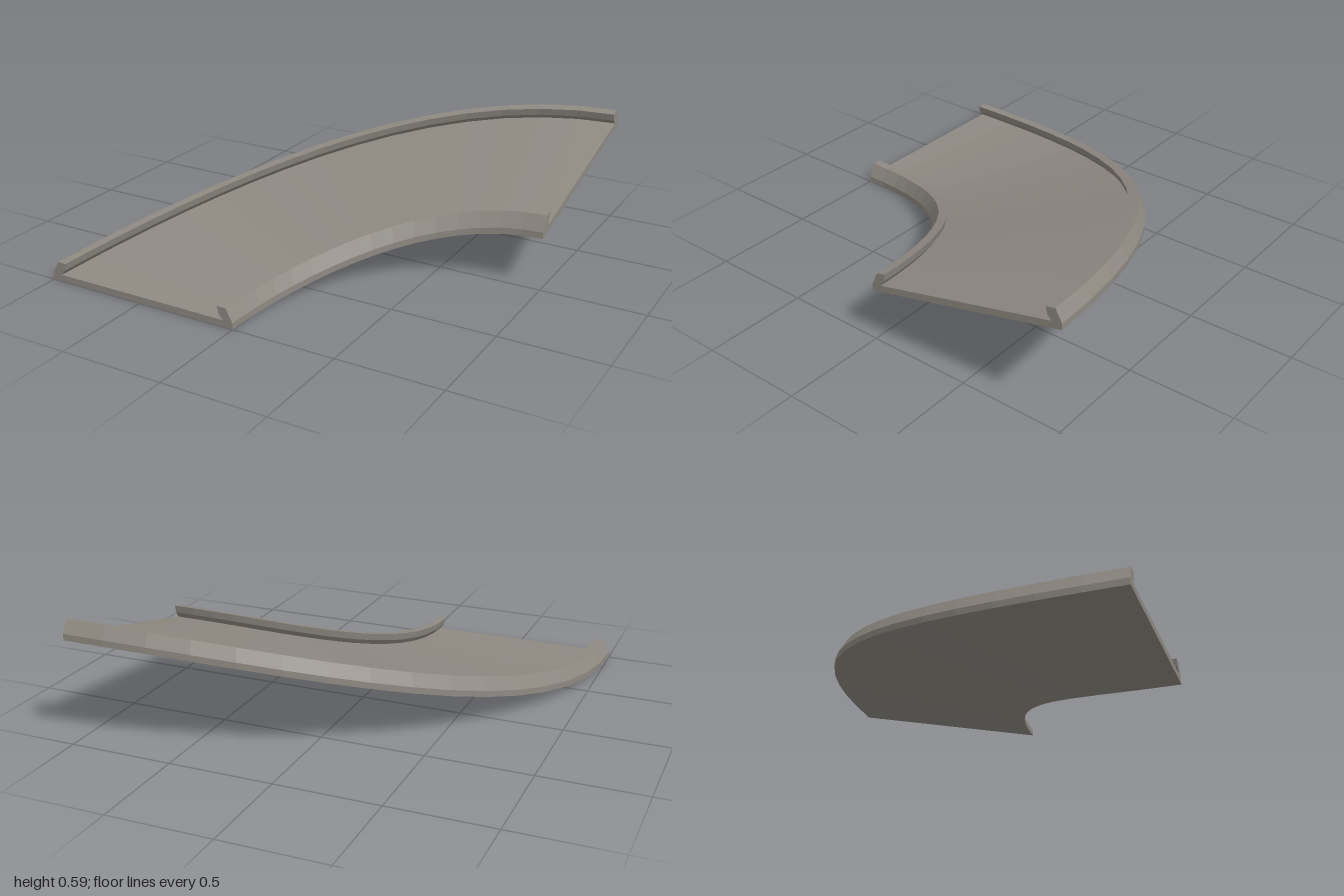
import * as THREE from 'three';

const SEGMENTS = 16;

// Banked quarter turn around (1, 1): climbs with sin², more at the outer radius
function place(r, y, t) {
  const rise = 0.255 + 0.245 * (r - 1);
  return [1 - r * Math.cos(t), y + rise * Math.sin(t) ** 2, 1 - r * Math.sin(t)];
}

// Sweeps a closed (radius, height) section along the turn and caps both ends
function sweep(name, points, material) {
  const section = points.map(([r, y]) => new THREE.Vector2(r, y));
  if (THREE.ShapeUtils.isClockWise(section)) section.reverse();
  const pos = [];
  const add = (p, t) => pos.push(...place(p.x, p.y, t));

  for (let s = 0; s < SEGMENTS; s++) {
    const t0 = (s / SEGMENTS) * Math.PI / 2;
    const t1 = ((s + 1) / SEGMENTS) * Math.PI / 2;
    section.forEach((a, i) => {
      const b = section[(i + 1) % section.length];
      // Leave out the hidden seams between floor and rails
      if (a.x === b.x && a.x > 1.01 && a.x < 1.99) return;
      add(a, t0); add(b, t0); add(b, t1);
      add(a, t0); add(b, t1); add(a, t1);
    });
  }
  for (const [i, j, k] of THREE.ShapeUtils.triangulateShape(section, [])) {
    [i, j, k].forEach((n) => add(section[n], Math.PI / 2));
    [k, j, i].forEach((n) => add(section[n], 0));
  }

  const geometry = new THREE.BufferGeometry();
  geometry.setAttribute('position', new THREE.Float32BufferAttribute(pos, 3));
  geometry.computeVertexNormals();
  const mesh = new THREE.Mesh(geometry, material);
  mesh.name = name;
  return mesh;
}

export function createModel() {
  const group = new THREE.Group();
  group.name = 'bankedCurve';
  const stone = new THREE.MeshStandardMaterial({ color: 0x8f8a82 });
  stone.name = 'warm grey';

  // Rail leaning over the floor: (distance from the edge, height)
  const rail = [
    [0, 0], [0, 0.03], [0.033, 0.094], [0.078, 0.094],
    [0.07, 0.058], [0.05, 0.033], [0.05, 0],
  ];
  const inner = rail.map(([d, y]) => [1 + d, y]);
  const outer = rail.map(([d, y]) => [2 - d, y]);
  const floor = [[1 + 0.05, 0], [2 - 0.05, 0], [2 - 0.05, 0.033], [1 + 0.05, 0.033]];

  group.add(
    sweep('floor', floor, stone),
    sweep('innerRail', inner, stone),
    sweep('outerRail', outer, stone),
  );
  return group;
}
